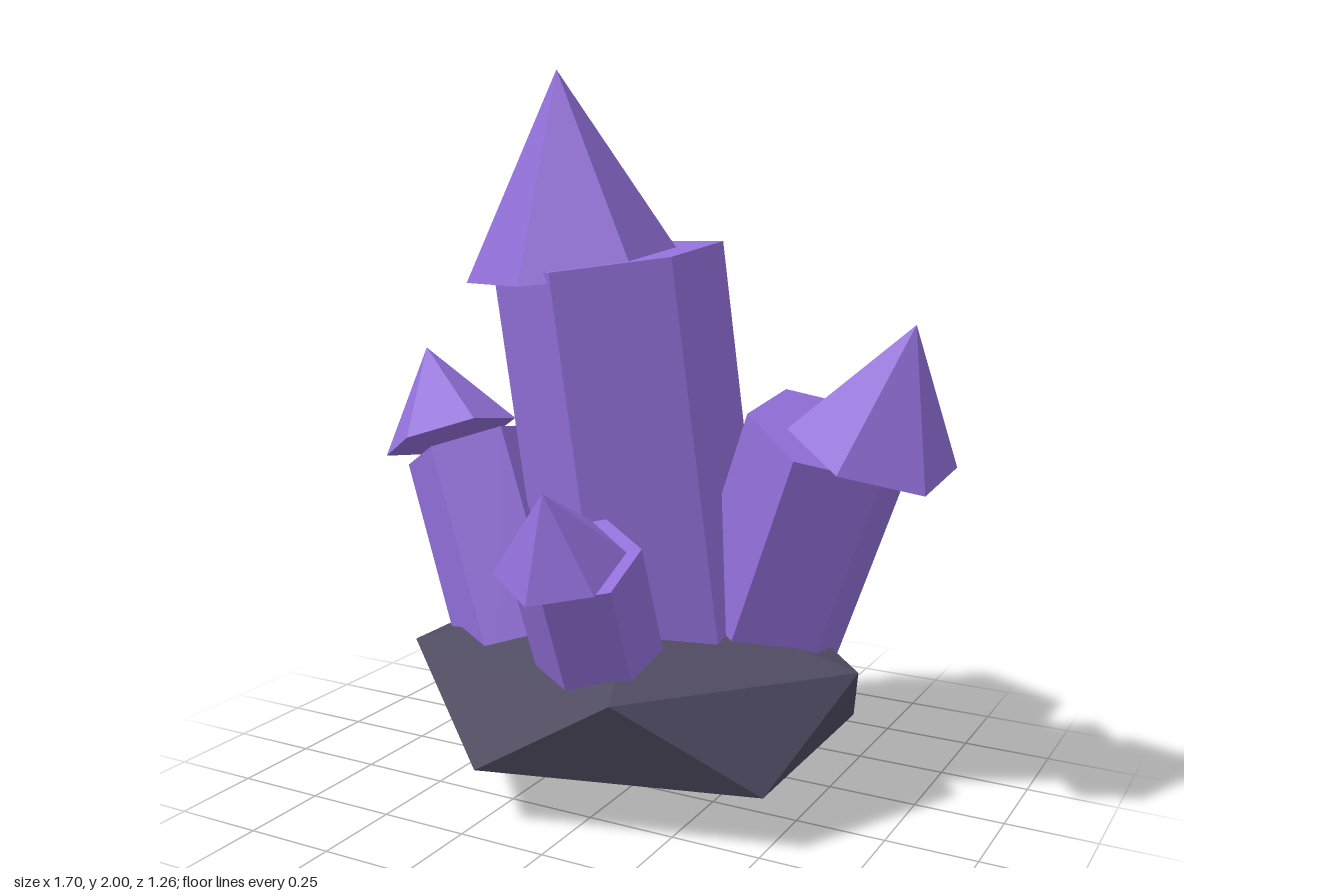
import * as THREE from 'three';
import { ConvexGeometry } from 'three/addons/geometries/ConvexGeometry.js';

// Rotation that leans +y toward dir (pitch about x, then roll about z)
function lean(dir) {
  const d = new THREE.Vector3(...dir).normalize();
  return new THREE.Euler(Math.asin(d.z), 0, Math.atan2(-d.x, d.y), 'ZXY');
}

// Hexagonal shaft given by its top centre, lean and the height it is sunk to
function makeShaft({ top, dir, radius, sunkTo }, material) {
  const axis = new THREE.Vector3(...dir).normalize();
  const length = (top[1] - sunkTo) / axis.y;
  const mesh = new THREE.Mesh(new THREE.CylinderGeometry(radius, radius, length, 6), material);
  mesh.position.set(...top).addScaledVector(axis, -length / 2);
  mesh.rotation.copy(lean(dir));
  mesh.name = 'shaft';
  return mesh;
}

// Six-sided point given by the centre of its base and its apex
function makeTip({ base, apex, radius }, material) {
  const a = new THREE.Vector3(...base);
  const b = new THREE.Vector3(...apex);
  const axis = b.clone().sub(a);
  const mesh = new THREE.Mesh(new THREE.ConeGeometry(radius, axis.length(), 6), material);
  mesh.position.copy(a).add(b).multiplyScalar(0.5);
  mesh.rotation.copy(lean(axis.toArray()));
  mesh.name = 'tip';
  return mesh;
}

// Squashed twenty-sided boulder: two poles and two staggered rings of five
function makeRock(material) {
  const points = [new THREE.Vector3(0, 0.285, 0), new THREE.Vector3(0, -0.285, 0)];
  for (let i = 0; i < 5; i++) {
    const t = (i * Math.PI * 2) / 5;
    const x = 0.67 * Math.cos(t), z = 0.563 * Math.sin(t);
    points.push(new THREE.Vector3(x, 0.127, z), new THREE.Vector3(-x, -0.127, -z));
  }
  const rock = new THREE.Mesh(new ConvexGeometry(points), material);
  rock.position.set(-0.04, 0.29, -0.095);
  rock.name = 'rockBase';
  return rock;
}

export function createModel() {
  const amethyst = new THREE.MeshStandardMaterial({ color: 0x9370db, flatShading: true });
  amethyst.name = 'purpleCrystal';
  const stone = new THREE.MeshStandardMaterial({ color: 0x504b62, flatShading: true });
  stone.name = 'darkStone';

  const crystals = [
    {
      name: 'mainCrystal',
      shaft: { top: [-0.105, 1.505, -0.045], dir: [-0.1, 1, 0.08], radius: 0.317, sunkTo: 0.35 },
      tip: { base: [-0.18, 1.46, 0], apex: [-0.22, 2, 0.03], radius: 0.302 },
    },
    {
      name: 'leftCrystal',
      shaft: { top: [0.52, 1.05, -0.14], dir: [0.39, 1, 0.18], radius: 0.232, sunkTo: 0.25 },
      tip: { base: [0.657, 1.035, -0.075], apex: [0.78, 1.365, -0.02], radius: 0.228 },
    },
    {
      name: 'rightCrystal',
      shaft: { top: [-0.56, 0.935, -0.05], dir: [-0.44, 1, -0.17], radius: 0.207, sunkTo: 0.3 },
      tip: { base: [-0.685, 0.94, -0.1], apex: [-0.8, 1.2, -0.145], radius: 0.203 },
    },
    {
      name: 'frontCrystal',
      shaft: { top: [0.03, 0.762, 0.37], dir: [0.05, 1, 0.48], radius: 0.172, sunkTo: 0.35 },
      tip: { base: [0.047, 0.783, 0.475], apex: [0.06, 0.98, 0.572], radius: 0.169 },
    },
  ];

  const model = new THREE.Group();
  model.name = 'crystalCluster';
  model.add(makeRock(stone));
  for (const { name, shaft, tip } of crystals) {
    const crystal = new THREE.Group();
    crystal.name = name;
    crystal.add(makeShaft(shaft, amethyst), makeTip(tip, amethyst));
    model.add(crystal);
  }
  return model;
}
